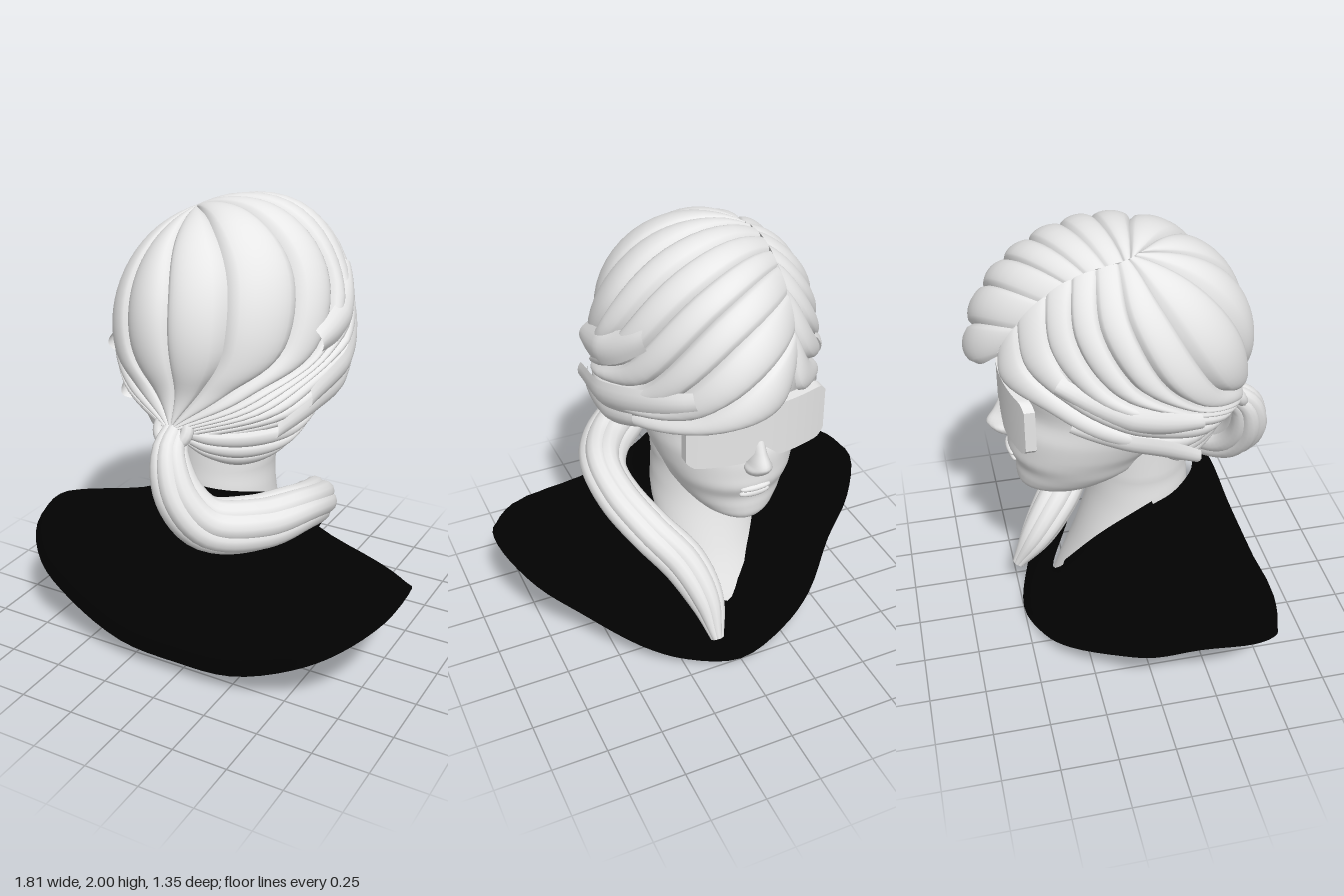
import * as THREE from 'three';
import { mergeVertices } from 'three/addons/utils/BufferGeometryUtils.js';

const V = (x, y, z) => new THREE.Vector3(x, y, z);
const pale = new THREE.MeshStandardMaterial({ color: 0xe8e8e8, side: THREE.DoubleSide });
pale.name = 'paleGrey';
const black = new THREE.MeshStandardMaterial({ color: 0x020202, side: THREE.DoubleSide });
black.name = 'black';

// Smooth surface from a rule (u, v) -> point
function grid(nu, nv, fn) {
  const pos = [], idx = [];
  for (let j = 0; j <= nv; j++) for (let i = 0; i <= nu; i++) pos.push(...fn(i / nu, j / nv).toArray());
  for (let j = 0; j < nv; j++) for (let i = 0; i < nu; i++) {
    const a = j * (nu + 1) + i, b = a + nu + 1;
    idx.push(a, b, a + 1, a + 1, b, b + 1);
  }
  let g = new THREE.BufferGeometry();
  g.setAttribute('position', new THREE.Float32BufferAttribute(pos, 3));
  g.setIndex(idx);
  g = mergeVertices(g, 1e-4);
  g.computeVertexNormals();
  return g;
}

// Point on a sheet spanned by several key curves
function sheet(keys, closed = false) {
  const curves = keys.map(k => new THREE.CatmullRomCurve3(k.map(p => V(...p))));
  const cache = new Map();
  return (u, v) => {
    if (!cache.has(v)) cache.set(v, new THREE.CatmullRomCurve3(curves.map(c => c.getPoint(v)), closed));
    return cache.get(v).getPoint(u);
  };
}

// Stacked oval sections: [y, front z, back z, half width, tilt]
function ovals(rows, nu = 32, nv = 40) {
  const at = sheet([rows.map(r => [r[0], r[1], r[2]]), rows.map(r => [r[3], r[4] || 0, 0])]);
  return grid(nu, nv, (u, v) => {
    const a = at(0, v), b = at(1, v), t = u * Math.PI * 2;
    const c = (a.y + a.z) / 2, dz = -Math.cos(t) * (a.z - a.y) / 2;
    return V(b.x * Math.sin(t), a.x + b.y * dz, c + dz);
  });
}

// Pull a point onto the egg-shaped skull (narrower in front, slightly turned), fading out towards the nape
const C = V(-0.02, 1.45, -0.08), R = V(0.457, 0.525, 0.565);
function toSkull(p) {
  const d = p.clone().sub(C), e = 2.08;
  const q = [(d.x + .07 * d.z) / (R.x * (1 + .5 * Math.min(0, d.z))), d.y / R.y, d.z / R.z];
  const k = Math.pow(q.reduce((s, a) => s + Math.pow(Math.abs(a), e), 0), -1 / e);
  return p.clone().lerp(d.multiplyScalar(k).add(C), THREE.MathUtils.smoothstep(p.y, 1.14, 1.38));
}

export function createModel() {
  const group = new THREE.Group();
  const add = (name, geo, mat = pale, parent = group) => {
    const m = new THREE.Mesh(geo, mat);
    m.name = name;
    parent.add(m);
    return m;
  };

  // Coat: columns from back to front, each from collar to hem
  const cols = [
    [[0, .81, .3], [0, .66, .38], [0, .2, .605], [0, .08, .58]],
    [[.12, .81, .28], [.15, .65, .38], [.25, .22, .6], [.28, .1, .58]],
    [[.2, .8, .22], [.27, .66, .34], [.52, .33, .57], [.56, .21, .555]],
    [[.25, .78, .15], [.35, .67, .24], [.72, .45, .48], [.75, .33, .51]],
    [[.27, .76, .08], [.38, .65, .18], [.83, .52, .31], [.88, .43, .36]],
    [[.27, .73, .02], [.38, .64, .1], [.84, .52, .16], [.9, .47, .12]],
    [[.26, .68, -.05], [.36, .6, 0], [.74, .46, 0], [.8, .36, -.04]],
    [[.23, .58, -.13], [.31, .53, -.12], [.59, .33, -.13], [.64, .23, -.15]],
    [[.18, .47, -.2], [.24, .43, -.22], [.4, .21, -.31], [.43, .12, -.35]],
    [[.1, .34, -.28], [.13, .31, -.3], [.23, .12, -.41], [.25, .045, -.44]],
    [[0, .23, -.35], [0, .21, -.36], [0, .07, -.46], [0, 0, -.5]],
  ];
  const mirror = k => k.map(([x, y, z]) => [-x, y, z]);
  const loop = [...cols, ...cols.slice(1, -1).reverse().map(mirror)];
  add('coat', grid(80, 18, sheet(loop, true)), black);
  const lapel = sheet([
    [[.27, .77, .06], [.23, .6, -.16], [.11, .36, -.31]],
    [[.32, .74, .07], [.31, .59, -.16], [.19, .36, -.34]],
    [[.37, .68, .08], [.36, .55, -.15], [.23, .33, -.34]],
  ]);
  for (const s of [1, -1]) add('lapel', grid(6, 12, lapel), black).scale.x = s;

  // Neck and chest, cut on a slant under the coat
  add('neck', ovals([
    [.47, -.36, .25, .22, .98], [.6, -.25, .27, .235, .6], [.74, -.18, .27, .225, .2],
    [.88, -.17, .26, .225, 0], [1.05, -.17, .25, .23, 0], [1.2, -.17, .25, .25, 0],
  ])).position.x = -0.035;

  // Face
  const face = new THREE.Group();
  face.name = 'face';
  face.position.x = -0.035;
  group.add(face);
  add('head', ovals([
    [.792, -.33, -.32, .002], [.798, -.455, -.18, .09], [.83, -.49, -.08, .16], [.88, -.497, 0, .21],
    [.94, -.5, .08, .25], [1, -.525, .12, .275], [1.06, -.525, .18, .3], [1.15, -.52, .25, .325],
    [1.25, -.49, .3, .34], [1.4, -.53, .34, .36], [1.6, -.53, .36, .36], [1.78, -.4, .28, .28],
    [1.86, -.2, .1, .12],
  ], 40, 60), pale, face);
  add('nose', ovals([
    [1.085, -.55, -.48, .01], [1.095, -.575, -.48, .05], [1.12, -.6, -.47, .058],
    [1.145, -.613, -.46, .045], [1.2, -.58, -.45, .032], [1.3, -.53, -.45, .03],
  ], 20, 20), pale, face);
  for (const [y, z, h] of [[1.0, -.518, .016], [.97, -.508, .02]]) {
    const lip = add('lip', new THREE.SphereGeometry(1, 16, 10), pale, face);
    lip.scale.set(.07, h, .02);
    lip.position.set(0, y, z);
  }

  // Visor: bent plate with rounded ends and a notch over the nose
  const visor = new THREE.BoxGeometry(.62, .25, .045, 40, 2, 1);
  const vp = visor.attributes.position;
  for (let i = 0; i < vp.count; i++) {
    const x = vp.getX(i), y = vp.getY(i), end = Math.max(0, Math.abs(x) / .31 - .86) / .14;
    const notch = y < -.1 ? .07 * Math.max(0, 1 - Math.abs(x) / .08) : 0;
    vp.setXYZ(i, x, y * (1 - .25 * end * end) + notch, vp.getZ(i) + .65 * x * x);
  }
  visor.computeVertexNormals();
  add('visor', visor, pale, face).position.set(-.01, 1.285, -.53);

  // Combed hair: each sheet is split into bulging locks
  function locks(name, keys, n, height) {
    const at = sheet(keys);
    for (let i = 0; i < n; i++) add(name, grid(12, 32, (f, v) => {
      const p = toSkull(at((i + f) / n, v)), out = p.clone().sub(C).normalize();
      const round = Math.sqrt(Math.max(0, 1 - (2 * f - 1) ** 2));
      return p.addScaledVector(out, height * round * (.25 + .75 * Math.sin(Math.PI * v)));
    }));
  }
  const back = [[-.2, 1.99, .03], [-.15, 1.9, .3], [-.08, 1.7, .45], [-.05, 1.5, .5], [-.03, 1.33, .505], [-.03, 1.18, .51]];
  locks('leftLock', [
    [[-.18, 1.55, -.6], [-.08, 1.46, -.62], [.13, 1.4, -.6], [.36, 1.28, -.25], [.38, 1.17, .1], [.03, 1.08, .45]],
    [[-.25, 1.93, -.32], [.12, 1.85, -.5], [.4, 1.5, -.35], [.44, 1.38, 0], [.35, 1.25, .3], [.02, 1.14, .48]],
    [[-.24, 1.98, -.05], [.15, 1.97, -.1], [.43, 1.72, -.05], [.45, 1.45, .12], [.29, 1.3, .4], [0, 1.17, .51]],
    back,
  ], 9, .045);
  locks('rightLock', [
    [[-.18, 1.55, -.6], [-.2, 1.45, -.56], [-.35, 1.36, -.38], [-.41, 1.25, -.15], [-.39, 1.15, .12], [-.08, 1.08, .45]],
    [[-.25, 1.93, -.32], [-.38, 1.7, -.33], [-.46, 1.5, -.2], [-.47, 1.38, .05], [-.36, 1.25, .32], [-.08, 1.14, .48]],
    [[-.24, 1.98, -.05], [-.4, 1.78, -.03], [-.49, 1.55, .08], [-.45, 1.4, .2], [-.3, 1.28, .41], [-.06, 1.17, .51]],
    back,
  ], 8, .045);
  const nape = [
    [[.36, 1.2, -.02], [.33, 1.1, .06], [.24, .98, .16], [.14, .94, .24], [.05, 1.0, .36], [-.02, 1.1, .46]],
    [[.39, 1.25, -.08], [.37, 1.14, .06], [.32, 1.06, .17], [.2, 1.03, .3], [.08, 1.06, .41], [-.01, 1.12, .48]],
    [[.39, 1.3, -.15], [.4, 1.2, .02], [.37, 1.15, .15], [.26, 1.13, .3], [.12, 1.13, .42], [0, 1.15, .5]],
  ];
  locks('leftNapeLock', nape, 3, .03);
  locks('rightNapeLock', nape.map(mirror), 3, .03);

  // Loose locks: arched strips lying over the sides, lifting towards blunt ends
  function loose(pts, width, lift) {
    const curve = new THREE.CatmullRomCurve3(pts.map(p => V(...p)));
    add('looseLock', grid(6, 20, (f, v) => {
      const p = curve.getPoint(v), out = p.clone().sub(C).normalize();
      const side = curve.getTangent(v).cross(out).normalize(), a = 2 * f - 1;
      return toSkull(p).addScaledVector(side, a * width * (.45 + .55 * Math.sin(Math.PI * (.15 + .7 * v))))
        .addScaledVector(out, .02 + lift * v * v + .028 * (1 - a * a));
    }));
  }
  loose([[.24, 1.5, -.54], [.4, 1.4, -.3], [.44, 1.33, -.05], [.44, 1.27, .2]], .07, .03);
  loose([[.34, 1.68, -.3], [.42, 1.58, -.15], [.45, 1.53, 0], [.46, 1.5, .14]], .07, .03);
  loose([[.37, 1.32, -.28], [.42, 1.25, -.1], [.42, 1.22, .12], [.35, 1.17, .32]], .06, 0);
  loose([[-.36, 1.5, -.34], [-.46, 1.4, -.12], [-.48, 1.36, .05], [-.49, 1.35, .18]], .06, .05);
  loose([[-.35, 1.33, -.28], [-.42, 1.25, -.08], [-.43, 1.2, .06], [-.42, 1.15, .18]], .06, .02);

  // Hair tie
  const tie = add('hairTie', new THREE.TorusGeometry(.065, .028, 10, 24));
  tie.position.set(-.03, 1.15, .49);
  tie.rotation.x = -.5;

  // Ponytail: strands bundled around a curve swept over the left shoulder
  const tail = new THREE.CatmullRomCurve3([
    [-.03, 1.14, .46], [-.02, 1.06, .54], [.04, .9, .57], [.14, .775, .52], [.29, .745, .375], [.38, .745, .18],
    [.37, .695, 0], [.3, .615, -.17], [.19, .485, -.29], [.13, .335, -.4], [.12, .18, -.5],
  ].map(p => V(...p)));
  const frames = tail.computeFrenetFrames(60);
  const thick = new THREE.CatmullRomCurve3([.055, .09, .11, .12, .115, .1, .1, .1, .1, .08, .03].map((r, i) => V(i, r, 0)));
  for (let s = 0; s < 7; s++) add('ponytailStrand', grid(12, 60, (f, v) => {
    const i = Math.round(v * 60), r = thick.getPoint(v).y, a = s / 7 * Math.PI * 2 + v * 1.2, b = f * Math.PI * 2;
    const x = r * (.52 * Math.cos(a) + .5 * Math.cos(b)), y = r * (.52 * Math.sin(a) + .5 * Math.sin(b));
    return tail.getPointAt(v).addScaledVector(frames.normals[i], x).addScaledVector(frames.binormals[i], y);
  }));

  return group;
}
